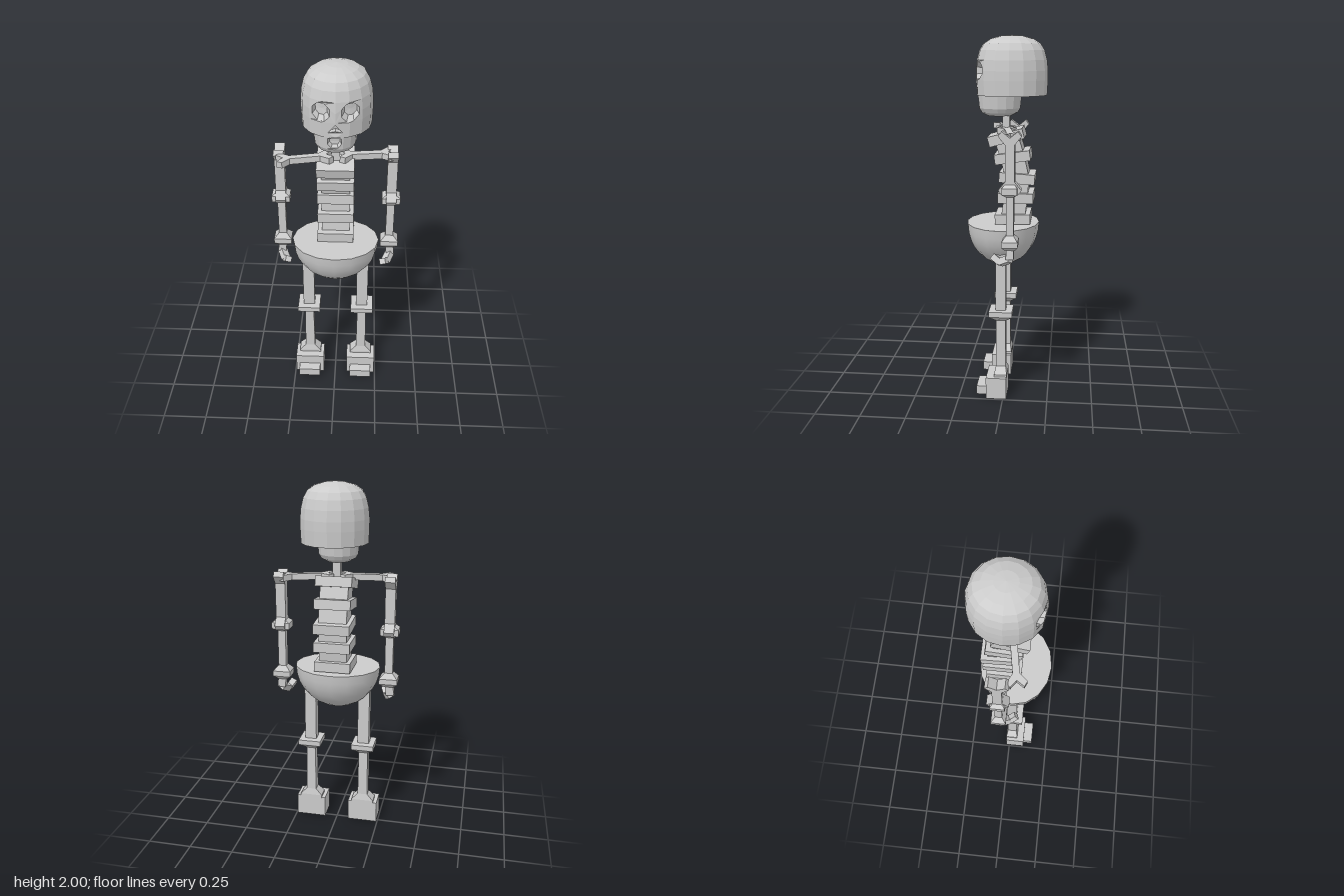
import * as THREE from 'three';
import { toCreasedNormals } from 'three/addons/utils/BufferGeometryUtils.js';

const flat = new THREE.MeshStandardMaterial({ color: 0xcccccc, flatShading: true });
const smooth = new THREE.MeshStandardMaterial({ color: 0xcccccc });
const V = (x, y, z) => new THREE.Vector3(x, y, z);

function add(parent, name, geometry, material = flat) {
  const mesh = new THREE.Mesh(geometry, material);
  mesh.name = name;
  parent.add(mesh);
  return mesh;
}

function box(parent, name, w, h, d, x, y, z) {
  const mesh = add(parent, name, new THREE.BoxGeometry(w, h, d));
  mesh.position.set(x, y, z);
  return mesh;
}

// Triangle collector for hand-built flat surfaces
function builder() {
  const pos = [];
  const tri = (a, b, c) => {
    if (a.distanceTo(b) > 1e-6 && b.distanceTo(c) > 1e-6 && c.distanceTo(a) > 1e-6) {
      for (const p of [a, b, c]) pos.push(p.x, p.y, p.z);
    }
  };
  const quad = (a, b, c, d) => { tri(a, b, c); tri(a, c, d); };
  const build = () => {
    const g = new THREE.BufferGeometry();
    g.setAttribute('position', new THREE.Float32BufferAttribute(pos, 3));
    g.computeVertexNormals();
    return g;
  };
  return { tri, quad, build };
}

// Square-section bone: sections are [y, halfWidth, halfDepth]
function squareLoft(sections) {
  const { quad, build } = builder();
  const rings = sections.map(([y, w, d]) => [V(-w, y, d), V(w, y, d), V(w, y, -d), V(-w, y, -d)]);
  for (let i = 0; i + 1 < rings.length; i++) {
    for (let k = 0; k < 4; k++) {
      const n = (k + 1) % 4;
      quad(rings[i][k], rings[i][n], rings[i + 1][n], rings[i + 1][k]);
    }
  }
  const bottom = rings[0], top = rings[rings.length - 1];
  quad(bottom[3], bottom[2], bottom[1], bottom[0]);
  quad(...top);
  return build();
}

// Straight bar between two points
function strut(parent, name, a, b, w, d) {
  const mesh = add(parent, name, new THREE.BoxGeometry(w, a.distanceTo(b), d));
  mesh.position.copy(a).lerp(b, 0.5);
  mesh.quaternion.setFromUnitVectors(V(0, 1, 0), b.clone().sub(a).normalize());
}

// Bone with Y-shaped ends, its prongs spreading along `side`
function forkedBone(parent, name, a, b, side, w, depth) {
  const L = a.distanceTo(b);
  const end = [[w, L - 0.055], [w + 0.035, L - 0.012], [w + 0.017, L + 0.014], [0, L - 0.02]];
  const right = [...end.slice().reverse().map(([x, y]) => [x, L - y]), ...end];
  const left = right.slice(1, -1).reverse().map(([x, y]) => [-x, y]);
  const shape = new THREE.Shape([...right, ...left].map(([x, y]) => new THREE.Vector2(x, y)));
  const g = new THREE.ExtrudeGeometry(shape, { depth, bevelEnabled: false }).translate(0, 0, -depth / 2);
  const Y = b.clone().sub(a).normalize();
  const Z = side.clone().cross(Y).normalize();
  const X = Y.clone().cross(Z);
  g.applyMatrix4(new THREE.Matrix4().makeBasis(X, Y, Z).setPosition(a));
  add(parent, name, g);
}

// Faceted shell from rows [y, scale], with recessed openings cut into patches of cells
function skullShell(rows, rx, rz, openings, columns = 16) {
  const { tri, quad, build } = builder();
  const node = (c, r) => {
    const a = (c / columns) * Math.PI * 2, [y, s] = rows[r];
    return V(rx * s * Math.sin(a), y, rz * s * Math.cos(a));
  };
  const surface = (c, r) => {
    const c0 = Math.floor(c + 1e-6), r0 = Math.min(Math.floor(r + 1e-6), rows.length - 2);
    const low = node(c0, r0).lerp(node(c0 + 1, r0), c - c0);
    const high = node(c0, r0 + 1).lerp(node(c0 + 1, r0 + 1), c - c0);
    return low.lerp(high, r - r0);
  };
  // Front-view point to cell coordinates
  const toCell = ([x, y]) => {
    let r = 0;
    while (r < rows.length - 2 && rows[r + 1][0] < y) r++;
    const t = (y - rows[r][0]) / (rows[r + 1][0] - rows[r][0]);
    const s = THREE.MathUtils.lerp(rows[r][1], rows[r + 1][1], t);
    return new THREE.Vector2(Math.asin(x / (rx * s)) * columns / (Math.PI * 2), r + t);
  };
  const half = columns / 2;
  for (let r = 0; r + 1 < rows.length; r++) {
    for (let c = -half; c < half; c++) {
      const cut = openings.some(({ cells: [c0, c1, r0, r1] }) => c >= c0 && c < c1 && r >= r0 && r < r1);
      if (!cut) quad(node(c, r), node(c + 1, r), node(c + 1, r + 1), node(c, r + 1));
    }
  }
  for (const { cells: [c0, c1, r0, r1], outline, depth, taper } of openings) {
    const border = [];
    for (let c = c0; c < c1; c++) border.push([c, r0]);
    for (let r = r0; r < r1; r++) border.push([c1, r]);
    for (let c = c1; c > c0; c--) border.push([c, r1]);
    for (let r = r1; r > r0; r--) border.push([c0, r]);
    const shape = new THREE.Shape(border.map(([c, r]) => new THREE.Vector2(c, r)));
    const hole = outline.map(toCell);
    shape.holes.push(new THREE.Path(hole));
    const g = new THREE.ShapeGeometry(shape), p = g.attributes.position, ix = g.index.array;
    const at = i => surface(p.getX(i), p.getY(i));
    for (let i = 0; i < ix.length; i += 3) tri(at(ix[i]), at(ix[i + 1]), at(ix[i + 2]));
    // Walls and back of the recess
    const rim = hole.map(h => surface(h.x, h.y));
    const mid = rim.reduce((m, q) => m.add(q), V(0, 0, 0)).divideScalar(rim.length);
    mid.z -= depth;
    const inner = rim.map(q => V(q.x, q.y, q.z - depth).lerp(mid, 1 - taper));
    rim.forEach((q, i) => {
      const n = (i + 1) % rim.length;
      quad(q, rim[n], inner[n], inner[i]);
      tri(inner[i], inner[n], mid);
    });
  }
  // Flat closed underside
  for (let c = 0; c < columns; c++) tri(V(0, rows[0][0], 0), node(c + 1, 0), node(c, 0));
  return build();
}

export function createModel() {
  const model = new THREE.Group();
  model.name = 'skeleton';

  // Skull
  const eye = side => Array.from({ length: 8 }, (_, i) => {
    const a = (i + 0.5) * Math.PI / 4;
    return [side * 0.073 + 0.047 * Math.cos(a), 1.815 + 0.048 * Math.sin(a)];
  });
  const head = new THREE.Group();
  head.name = 'head';
  model.add(head);
  const cranium = add(head, 'cranium', skullShell(
    [[1.685, 0.98], [1.765, 1], [1.815, 1], [1.87, 0.97], [1.92, 0.9], [1.955, 0.79], [1.98, 0.59], [1.995, 0.3], [2, 0]],
    0.184, 0.195, [
      { cells: [-2, 0, 1, 3], outline: eye(-1), depth: 0.045, taper: 0.7 },
      { cells: [0, 2, 1, 3], outline: eye(1), depth: 0.045, taper: 0.7 },
      { cells: [-1, 1, 0, 1], outline: [[-0.038, 1.71], [0, 1.722], [0.038, 1.71], [0, 1.756]], depth: 0.025, taper: 0.7 },
    ]));
  cranium.position.set(0.005, 0, -0.03);
  const jaw = add(head, 'jaw', skullShell(
    [[1.57, 0], [1.574, 0.55], [1.592, 0.82], [1.615, 0.93], [1.692, 1]],
    0.117, 0.122, [{
      cells: [-1, 1, 3, 4], depth: 0.03, taper: 0.75,
      outline: [[-0.036, 1.645], [-0.018, 1.624], [0.018, 1.624], [0.036, 1.645], [0.034, 1.676], [-0.034, 1.676]],
    }]));
  jaw.position.z = 0.037;
  box(model, 'neck', 0.045, 0.14, 0.04, 0, 1.53, 0);

  // Curved spine: [y, z, tilt]
  const spine = [[1.012, -0.042, 0.02], [1.13, -0.058, 0], [1.24, -0.065, -0.07], [1.355, -0.04, 0.14], [1.462, -0.005, 0.26]];
  const ribs = new THREE.Group();
  ribs.name = 'ribcage';
  model.add(ribs);
  spine.forEach(([y, z, tilt], i) => {
    const rib = box(ribs, 'ribBlock', 0.2, 0.055, 0.195, 0, y, z);
    rib.rotation.x = tilt;
    if (i) strut(ribs, 'spineCore', V(0, spine[i - 1][0], spine[i - 1][1]), V(0, y, z), 0.155, 0.13);
  });

  // Pelvis bowl with a flat lid
  const pelvis = new THREE.Group();
  pelvis.name = 'pelvis';
  pelvis.position.set(0, 0.98, 0.018);
  pelvis.scale.set(0.242, 0.243, 0.203);
  model.add(pelvis);
  add(pelvis, 'pelvisBowl', toCreasedNormals(
    new THREE.SphereGeometry(1, 16, 8, Math.PI / 2, Math.PI * 2, Math.PI / 2, Math.PI / 2), 0.9), smooth);
  add(pelvis, 'pelvisLid', new THREE.CircleGeometry(1, 16).rotateX(-Math.PI / 2));

  for (const side of [-1, 1]) {
    const label = side < 0 ? 'right' : 'left';

    // Leg and foot
    const leg = new THREE.Group();
    leg.name = label + 'Leg';
    leg.position.set(side * 0.157, 0, 0.015);
    model.add(leg);
    add(leg, 'legBone', squareLoft([
      [0.12, 0.065, 0.036], [0.138, 0.065, 0.036], [0.175, 0.029, 0.028], [0.45, 0.026, 0.026], [0.462, 0.045, 0.038],
      [0.482, 0.065, 0.065], [0.512, 0.065, 0.065], [0.513, 0.033, 0.028], [0.85, 0.033, 0.028]]));
    box(leg, 'foot', 0.172, 0.125, 0.115, 0, 0.0625, 0.0225);
    box(leg, 'toe', 0.128, 0.05, 0.06, 0, 0.04, 0.105);

    // Arm
    const arm = new THREE.Group();
    arm.name = label + 'Arm';
    arm.position.set(side * 0.303, 0, -0.047);
    model.add(arm);
    add(arm, 'forearm', squareLoft([
      [0.9, 0.025, 0.025], [0.92, 0.05, 0.042], [0.95, 0.05, 0.042], [0.98, 0.022, 0.02], [1.185, 0.022, 0.02],
      [1.2, 0.05, 0.04], [1.235, 0.05, 0.04], [1.252, 0.025, 0.025]]));
    forkedBone(arm, 'upperArm', V(0, 1.21, 0), V(0, 1.51, 0), V(0, 0, 1), 0.025, 0.055);

    // Hooked hand
    const path = [V(0, 0.93, 0), V(side * 0.01, 0.85, 0), V(-side * 0.015, 0.822, 0.055), V(-side * 0.035, 0.85, 0.095)];
    for (let i = 0; i < 3; i++) strut(arm, 'handSegment', path[i], path[i + 1], 0.045 - i * 0.005, 0.04 - i * 0.003);

    // Collarbone, the pair set slightly askew
    forkedBone(model, label + 'Collarbone', V(side * 0.03, 1.497, -side * 0.003), V(side * 0.295, 1.49, -side * 0.05),
      V(0, 0, 1), 0.018, 0.034);
  }
  return model;
}
